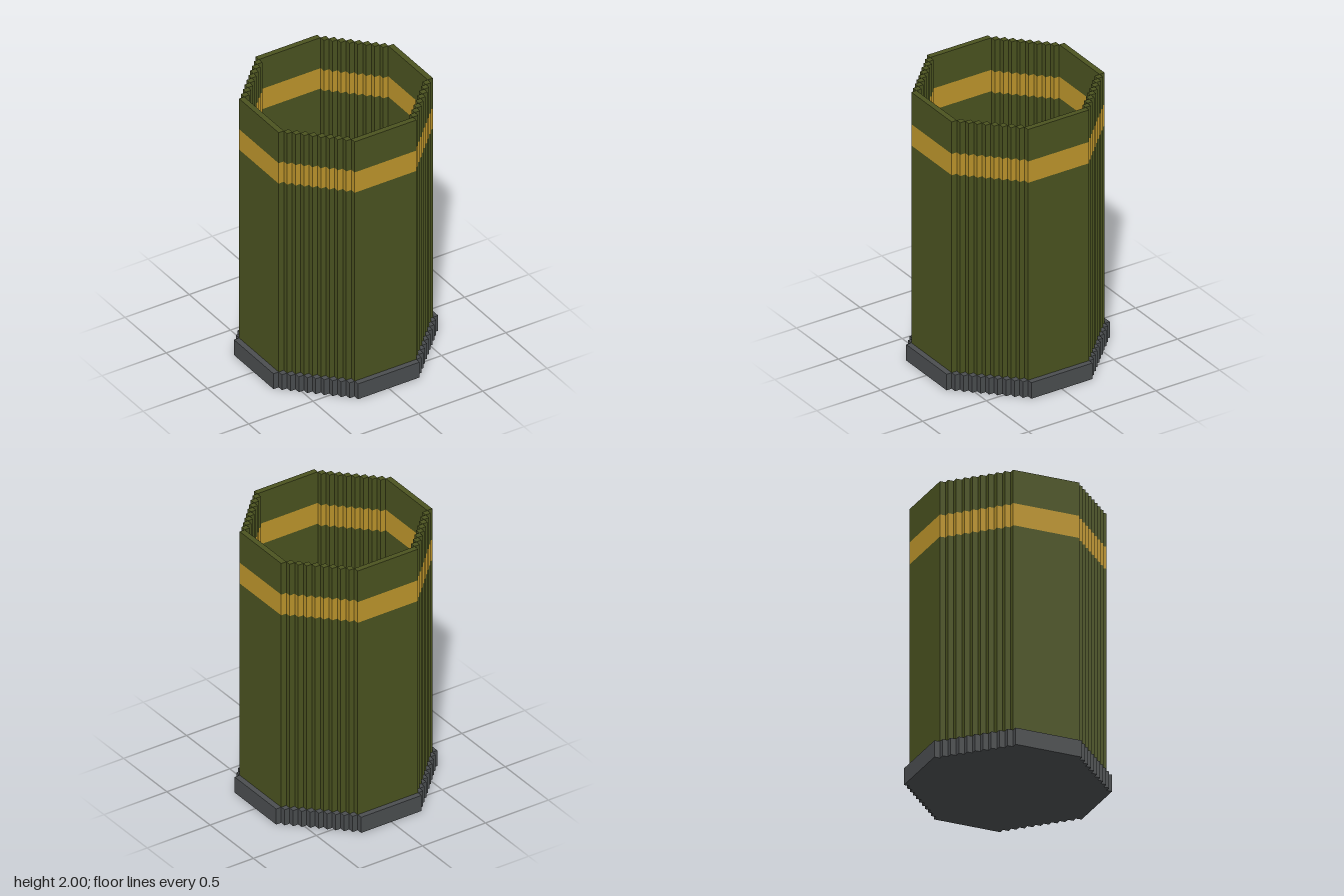
import * as THREE from 'three';
import { mergeGeometries } from 'three/addons/utils/BufferGeometryUtils.js';

const U = 0.04; // size of one block

const mat = (name, color) => {
  const m = new THREE.MeshStandardMaterial({ color });
  m.name = name;
  return m;
};

// Stepped octagon: half = half width, flat = half length of a straight side (in blocks)
function steppedOctagon(half, flat) {
  const quarter = [[flat, half]];
  for (let x = flat, y = half; x < half; x++, y--) {
    quarter.push([x, y - 1], [x + 1, y - 1]);
  }
  const points = [];
  for (let q = 0; q < 4; q++) {
    for (const [x, y] of quarter) {
      const [px, py] = [[x, y], [y, -x], [-x, -y], [-y, x]][q];
      points.push(new THREE.Vector2(px * U, py * U));
    }
  }
  return new THREE.Shape(points);
}

function slab(half, flat, y0, y1) {
  const g = new THREE.ExtrudeGeometry(steppedOctagon(half, flat), { depth: y1 - y0, bevelEnabled: false });
  return g.rotateX(-Math.PI / 2).translate(0, y0, 0);
}

// One-block-thick ring: a long straight side plus a diagonal run of posts, four times
function ring(half, flat, y0, y1) {
  const h = y1 - y0;
  const y = (y0 + y1) / 2;
  const parts = [];
  for (let q = 0; q < 4; q++) {
    const turn = q * Math.PI / 2;
    const side = new THREE.BoxGeometry(2 * flat * U, h, U);
    parts.push(side.translate(0, y, (half - 0.5) * U).rotateY(turn));
    for (let i = 0; flat + i < half - 1; i++) {
      const post = new THREE.BoxGeometry(U, h, U);
      parts.push(post.translate((flat + i + 0.5) * U, y, (half - 1.5 - i) * U).rotateY(turn));
    }
  }
  return mergeGeometries(parts);
}

export function createModel() {
  const olive = mat('olive green', 0x4b5320);
  const yellow = mat('mustard yellow', 0xbe962c);
  const dark = mat('dark grey', 0x4b4e50);
  const light = mat('light grey', 0xa2a6a6);

  const model = new THREE.Group();
  model.name = 'canister';
  const add = (name, geometry, material) => {
    const mesh = new THREE.Mesh(geometry, material);
    mesh.name = name;
    model.add(mesh);
  };

  add('base', slab(16, 6, 0, 0.12), dark);
  add('floorPlate', slab(10, 5, 0.12, 0.124), light);
  add('lowerWall', ring(15, 6, 0.12, 1.6), olive);
  add('band', ring(15, 6, 1.6, 1.76), yellow);
  add('upperWall', ring(15, 6, 1.76, 2), olive);
  return model;
}
